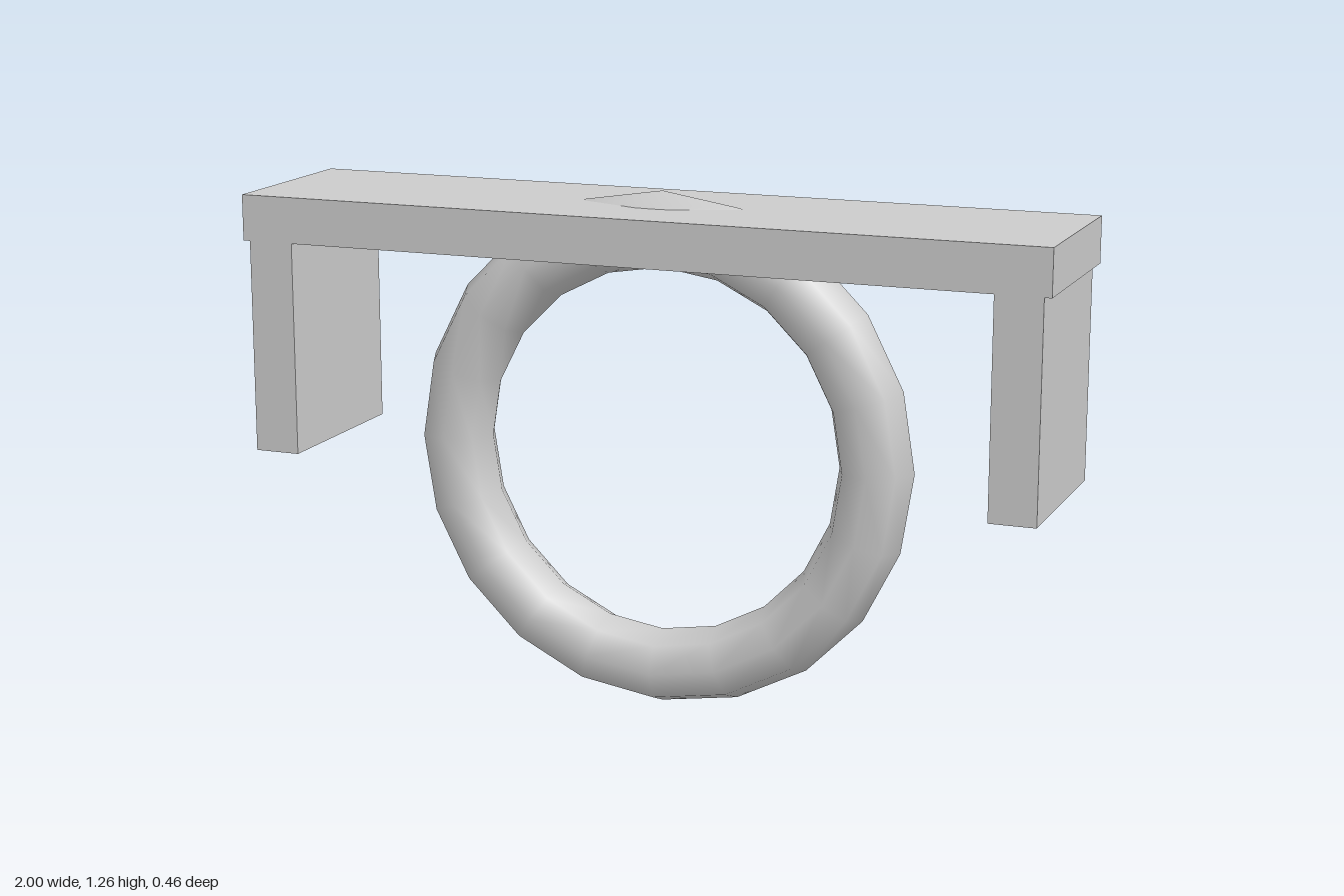
import * as THREE from 'three';

export function createModel() {
  const group = new THREE.Group();
  const material = new THREE.MeshStandardMaterial({ color: 0xcccccc });

  const add = (name, geometry, x, y) => {
    const mesh = new THREE.Mesh(geometry, material);
    mesh.name = name;
    mesh.position.set(x, y, 0);
    group.add(mesh);
  };

  const depth = 0.456;
  const slabBottom = 1.118, slabTop = 1.23, legBottom = 0.597;

  // Flat top slab
  add('topSlab', new THREE.BoxGeometry(2, slabTop - slabBottom, depth), 0, (slabTop + slabBottom) / 2);

  // Side legs, set slightly in from the slab ends
  const legHeight = slabBottom - legBottom;
  for (const side of [1, -1]) {
    add(side > 0 ? 'leftLeg' : 'rightLeg',
      new THREE.BoxGeometry(0.113, legHeight, depth), side * 0.926, legBottom + legHeight / 2);
  }

  // Ring hanging through the slab, its crest just breaking the top
  const radius = 0.54, tube = 0.092;
  add('ring', new THREE.TorusGeometry(radius, tube, 8, 20), 0, radius + tube);

  return group;
}
